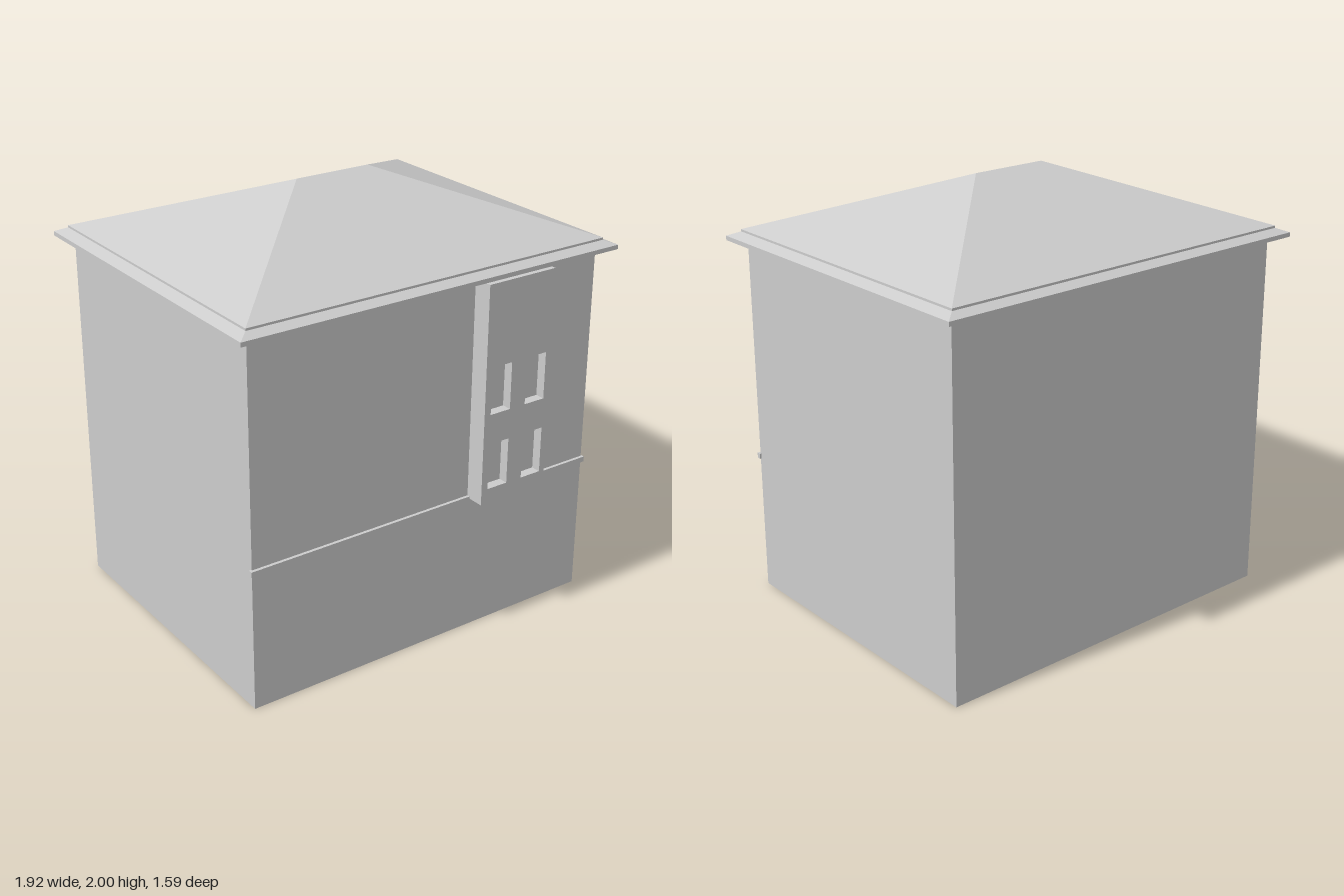
import * as THREE from 'three';

const plaster = new THREE.MeshStandardMaterial({ color: 0xcccccc, side: THREE.DoubleSide });
plaster.name = 'light grey plaster';

const CZ = -0.0075; // depth centre of the house
const HX = 0.893, HZ = 0.713, WALL = 1.68;

function add(parent, name, geometry, x = 0, y = 0, z = 0) {
  const mesh = new THREE.Mesh(geometry, plaster);
  mesh.name = name;
  mesh.position.set(x, y, z);
  parent.add(mesh);
  return mesh;
}

// Box given by its lower and upper corners
function block(parent, name, [x0, y0, z0], [x1, y1, z1]) {
  return add(parent, name, new THREE.BoxGeometry(x1 - x0, y1 - y0, z1 - z0),
    (x0 + x1) / 2, (y0 + y1) / 2, (z0 + z1) / 2);
}

// Flat-faced skin through stacked rectangles [half width, y, half depth]
function loftRectangles(rings) {
  const corners = rings.map(([hx, y, hz]) =>
    [[-hx, y, hz], [hx, y, hz], [hx, y, -hz], [-hx, y, -hz]]);
  const points = [];
  const quad = (a, b, c, d) => points.push(...a, ...b, ...c, ...a, ...c, ...d);
  for (let r = 0; r < rings.length - 1; r++) {
    for (let i = 0; i < 4; i++) {
      const j = (i + 1) % 4;
      const [a, b, c, d] = [corners[r][i], corners[r][j], corners[r + 1][j], corners[r + 1][i]];
      // Start at an upper corner where a side closes to a point
      if (rings[r + 1][2] === 0 && i % 2 === 1) points.push(...a, ...b, ...c);
      else quad(a, b, c, d);
    }
  }
  const geometry = new THREE.BufferGeometry();
  geometry.setAttribute('position', new THREE.Float32BufferAttribute(points, 3));
  geometry.computeVertexNormals();
  return geometry;
}

export function createModel() {
  const house = new THREE.Group();
  house.name = 'house';

  // Four walls, open underneath
  add(house, 'walls', loftRectangles([[HX, 0, HZ], [HX, WALL, HZ]]), 0, 0, CZ);

  // Hipped roof with fascia, sloping border and a small raised step
  add(house, 'roof', loftRectangles([
    [0.96, 1.68, 0.7825], [0.96, 1.7, 0.7825],
    [0.91, 1.72, 0.738], [0.91, 1.73, 0.738],
    [0.185, 2, 0],
  ]), 0, 0, CZ);
  const soffit = add(house, 'soffit', new THREE.PlaneGeometry(1.92, 1.565), 0, 1.68, CZ);
  soffit.rotation.x = Math.PI / 2;

  // String course across the front
  block(house, 'stringCourse', [-0.903, 0.645, 0.7], [0.9, 0.67, 0.72]);

  // Projecting bay with four recessed windows
  const bay = new THREE.Group();
  bay.name = 'bay';
  house.add(bay);
  const face = new THREE.Shape([[0.222, 0.66], [0.578, 0.66], [0.578, WALL], [0.222, WALL]]
    .map(([x, y]) => new THREE.Vector2(x, y)));
  for (const x of [0.255, 0.445]) {
    for (const [y0, y1] of [[0.73, 0.945], [1.085, 1.303]]) {
      face.holes.push(new THREE.Path([[x, y0], [x, y1], [x + 0.107, y1], [x + 0.107, y0]]
        .map(([px, py]) => new THREE.Vector2(px, py))));
    }
  }
  add(bay, 'bayFront', new THREE.ExtrudeGeometry(face, { depth: 0.045, bevelEnabled: false }), 0, 0, 0.753);
  block(bay, 'bayBody', [0.222, 0.66, 0.706], [0.578, WALL, 0.753]);

  // Window niches standing out from the inner faces of the walls
  const niches = new THREE.Group();
  niches.name = 'windowNiches';
  house.add(niches);
  const zIn = CZ + HZ - 0.001, d = 0.05;
  const frontNiche = (x, y0, y1, w = 0.12) =>
    block(niches, 'frontNiche', [x - w / 2, y0, zIn - d], [x + w / 2, y1, zIn]);
  frontNiche(-0.54, 0.32, 0.6, 0.14);
  for (const x of [-0.17, 0.18, 0.53]) frontNiche(x, 0.36, 0.6);
  for (const x of [-0.54, -0.17]) {
    frontNiche(x, 0.71, 0.95);
    frontNiche(x, 1.08, 1.3);
  }
  block(niches, 'sideNiche', [-HX + 0.001, 0.34, -0.08], [-HX + d, 0.58, 0.02]);

  return house;
}
